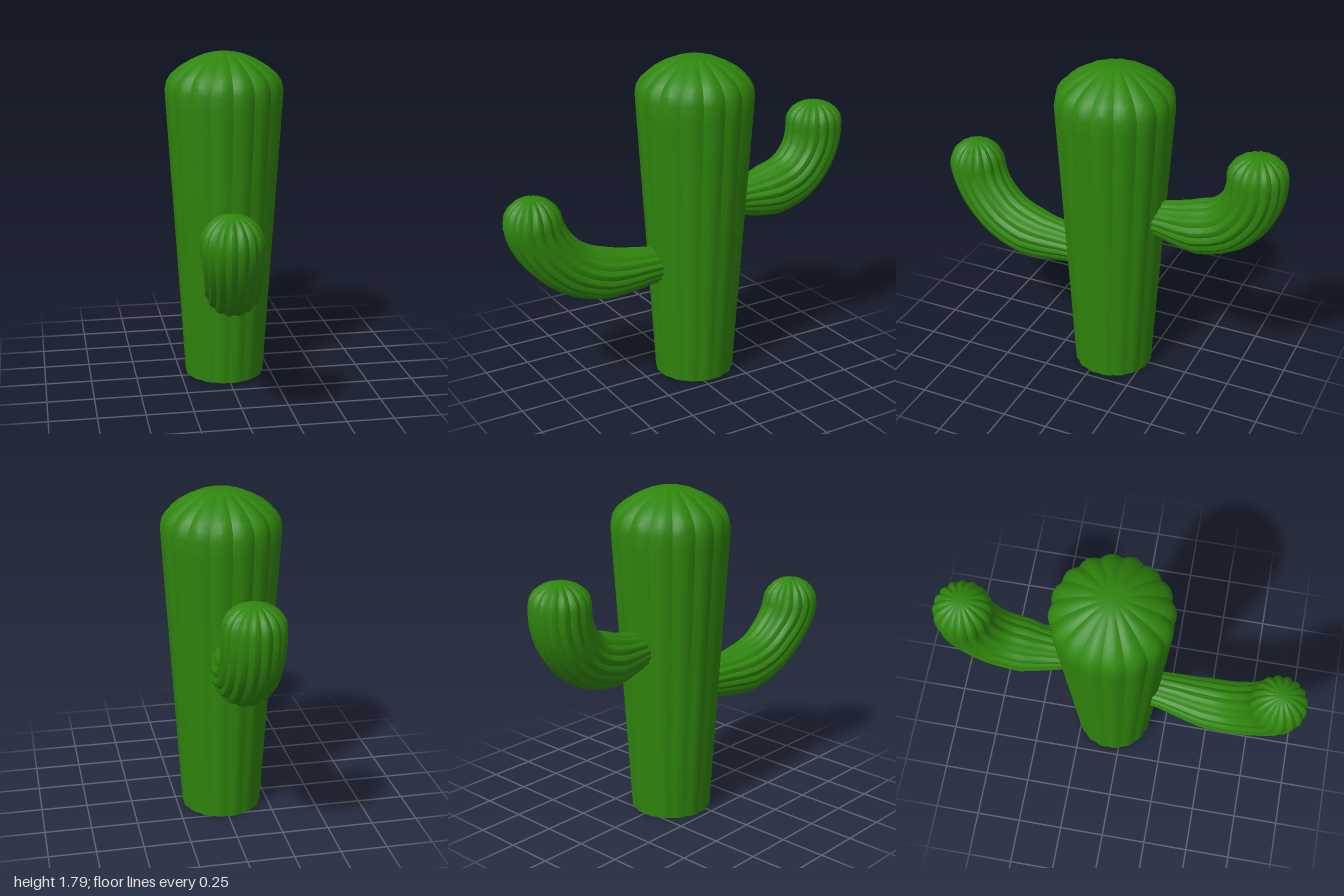
import * as THREE from 'three';
import { toCreasedNormals } from 'three/addons/utils/BufferGeometryUtils.js';

const RIBS = 16, STEPS = 4, SIDES = RIBS * STEPS;

// Skins a chain of rings { p: centre, r: radius, d: groove depth } with rounded ribs and closed ends
function ribbedSkin(rings) {
  const pos = [], index = [];
  const push = (v) => pos.push(v.x, v.y, v.z);
  rings.forEach(({ p, r, d }, i) => {
    const before = rings[Math.max(i - 1, 0)].p;
    const after = rings[Math.min(i + 1, rings.length - 1)].p;
    const t = after.clone().sub(before).normalize();
    const n = new THREE.Vector3(1, 0, 0).addScaledVector(t, -t.x).normalize();
    const b = t.clone().cross(n);
    for (let j = 0; j < SIDES; j++) {
      const a = (j / SIDES) * Math.PI * 2;
      const rib = Math.sin(((j % STEPS) / STEPS) * Math.PI); // 0 in the groove, 1 on the crest
      const rr = r * (1 - d * (1 - rib));
      push(p.clone().addScaledVector(n, rr * Math.cos(a)).addScaledVector(b, rr * Math.sin(a)));
    }
  });
  const last = (rings.length - 1) * SIDES, base = rings.length * SIDES;
  push(rings[0].p);
  push(rings[rings.length - 1].p);
  for (let j = 0; j < SIDES; j++) {
    const k = (j + 1) % SIDES;
    for (let o = 0; o < last; o += SIDES) {
      index.push(o + j, o + k, o + SIDES + k, o + j, o + SIDES + k, o + SIDES + j);
    }
    index.push(base, k, j, base + 1, last + j, last + k);
  }
  const geo = new THREE.BufferGeometry();
  geo.setAttribute('position', new THREE.Float32BufferAttribute(pos, 3));
  geo.setIndex(index);
  return toCreasedNormals(geo, 0.5);
}

// Curved arm through [x, y, z, radius] stations, finished with a dome
function armGeometry(stations, domeHeight) {
  const curve = new THREE.CatmullRomCurve3(stations.map(([x, y, z]) => new THREE.Vector3(x, y, z)));
  const rings = [], spans = stations.length - 1, cuts = 3;
  for (let i = 0; i <= spans * cuts; i++) {
    const s = Math.min(Math.floor(i / cuts), spans - 1);
    const r = THREE.MathUtils.lerp(stations[s][3], stations[s + 1][3], i / cuts - s);
    rings.push({ p: curve.getPoint(i / (spans * cuts)), r, d: 0.07 });
  }
  const [x, y, z, r] = stations[spans];
  for (const a of [0.3, 0.6, 0.9, 1.15, 1.4]) {
    rings.push({
      p: new THREE.Vector3(x, y + domeHeight * Math.sin(a), z),
      r: r * Math.cos(a), d: 0.07 + a * 0.08,
    });
  }
  return ribbedSkin(rings);
}

export function createModel() {
  const group = new THREE.Group();
  const green = new THREE.MeshStandardMaterial({ color: 0x2f850d });
  const add = (name, geo) => {
    const mesh = new THREE.Mesh(geo, green);
    mesh.name = name;
    group.add(mesh);
  };

  // Trunk: widens upwards, then a ribbed dome with a small flat crown [y, radius, groove depth]
  const trunk = [
    [0, 0.217, 0.03], [0.8, 0.267, 0.04], [1.5, 0.312, 0.045], [1.59, 0.317, 0.05],
    [1.635, 0.308, 0.06], [1.675, 0.283, 0.07], [1.715, 0.235, 0.09],
    [1.75, 0.175, 0.11], [1.775, 0.115, 0.12], [1.787, 0.07, 0.1],
  ];
  add('trunk', ribbedSkin(trunk.map(([y, r, d]) => ({ p: new THREE.Vector3(0, y, -0.06), r, d }))));

  // Lower arm at the front, bending slightly to the right as it rises
  add('frontArm', armGeometry([
    [-0.01, 0.66, 0.08, 0.09], [-0.02, 0.66, 0.22, 0.105], [-0.05, 0.66, 0.47, 0.142],
    [-0.07, 0.72, 0.645, 0.146], [-0.09, 0.84, 0.775, 0.15], [-0.105, 0.94, 0.83, 0.155],
    [-0.108, 1.0, 0.845, 0.156],
  ], 0.14));

  // Higher arm at the back
  add('backArm', armGeometry([
    [0, 0.95, -0.18, 0.08], [0, 0.958, -0.33, 0.1], [0, 0.965, -0.54, 0.148],
    [0, 1.02, -0.7, 0.152], [0, 1.13, -0.8, 0.154], [0, 1.24, -0.84, 0.157],
    [0, 1.33, -0.843, 0.157],
  ], 0.112));

  return group;
}
